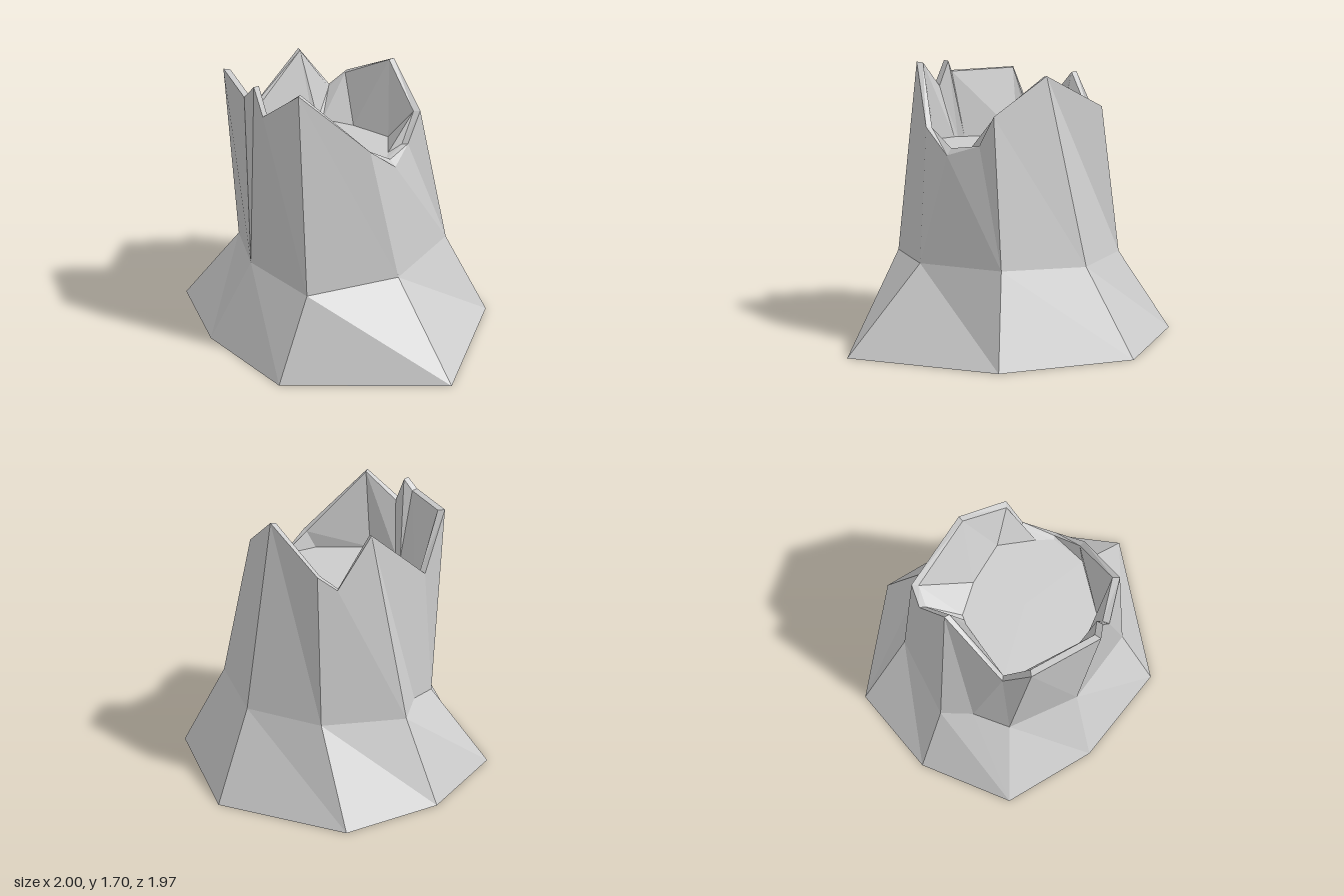
import * as THREE from 'three';

// Ring corners run counter-clockwise seen from above, starting at the front.
const roots = [
  [-0.16, 0, 0.98], [0.85, 0, 0.82], [1, 0, -0.12], [0.57, 0, -0.84],
  [-0.25, 0, -0.99], [-0.74, 0, -0.6], [-1, 0, -0.02], [-0.69, 0, 0.53],
];
const waist = [
  [-0.03, 0.49, 0.75], [0.48, 0.51, 0.47], [0.72, 0.53, -0.08], [0.45, 0.52, -0.54],
  [-0.04, 0.53, -0.68], [-0.52, 0.5, -0.45], [-0.54, 0.53, -0.24], [-0.62, 0.48, -0.01],
  [-0.44, 0.51, 0.43],
];
// Jagged, splintered top edge
const rim = [
  [-0.09, 1.7, 0.63], [0.3, 1.32, 0.47], [0.43, 1.165, 0.31], [0.48, 1.23, 0.1],
  [0.54, 1.41, 0], [0.34, 1.64, -0.28], [0, 1.44, -0.57], [-0.11, 1.35, -0.53],
  [-0.28, 1.64, -0.37], [-0.56, 1.29, -0.05], [-0.65, 1.65, 0.11], [-0.43, 1.63, 0.51],
  [-0.37, 1.7, 0.52], [-0.31, 1.54, 0.57],
];
// Edge of the hollow's floor, one corner per rim corner
const FLOOR_Y = 1.2;
const floorEdge = [
  [-0.13, 0.53], [0.22, 0.46], [0.37, 0.29], [0.37, 0.18], [0.34, -0.06], [0.1, -0.21],
  [-0.11, -0.28], [-0.14, -0.27], [-0.17, -0.26], [-0.51, -0.04], [-0.49, 0.05],
  [-0.35, 0.38], [-0.33, 0.42], [-0.31, 0.44],
].map(([x, z]) => [x, FLOOR_Y, z]);

// Which lower corner each upper corner grows from
const waistToRoot = [0, 1, 2, 3, 4, 5, 6, 6, 7];
const rimToWaist = [0, 1, 1, 2, 2, 3, 4, 4, 5, 6, 7, 8, 8, 8];

const innerRim = rim.map(([x, y, z]) => [
  -0.05 + (x + 0.05) * 0.93, Math.max(y - 0.005, FLOOR_Y + 0.005), 0.03 + (z - 0.03) * 0.93,
]);

// Flat-shaded mesh from a list of triangles
function facets(name, triangles) {
  const geometry = new THREE.BufferGeometry();
  geometry.setAttribute('position', new THREE.Float32BufferAttribute(triangles.flat(2), 3));
  geometry.computeVertexNormals();
  const material = new THREE.MeshStandardMaterial({ color: 0xcccccc, flatShading: true });
  const mesh = new THREE.Mesh(geometry, material);
  mesh.name = name;
  return mesh;
}

// Closed band between two rings; repeated lower corners give single triangles
function band(name, lower, upper) {
  const triangles = [];
  upper.forEach((u, i) => {
    const j = (i + 1) % upper.length;
    if (lower[i] !== lower[j]) triangles.push([lower[i], lower[j], u]);
    triangles.push([lower[j], upper[j], u]);
  });
  return facets(name, triangles);
}

// Fan that fills a ring from a centre point
function cap(name, ring, centre, faceDown) {
  return facets(name, ring.map((p, i) => {
    const q = ring[(i + 1) % ring.length];
    return faceDown ? [q, p, centre] : [p, q, centre];
  }));
}

export function createModel() {
  const stump = new THREE.Group();
  stump.name = 'hollowTreeStump';
  stump.add(
    cap('underside', roots, [0, 0, 0], true),
    band('rootFlare', waistToRoot.map((i) => roots[i]), waist),
    band('trunk', rimToWaist.map((i) => waist[i]), rim),
    band('brokenRim', rim, innerRim),
    band('hollowWall', innerRim, floorEdge),
    cap('hollowFloor', floorEdge, [-0.05, FLOOR_Y, 0.1], false),
  );
  return stump;
}
